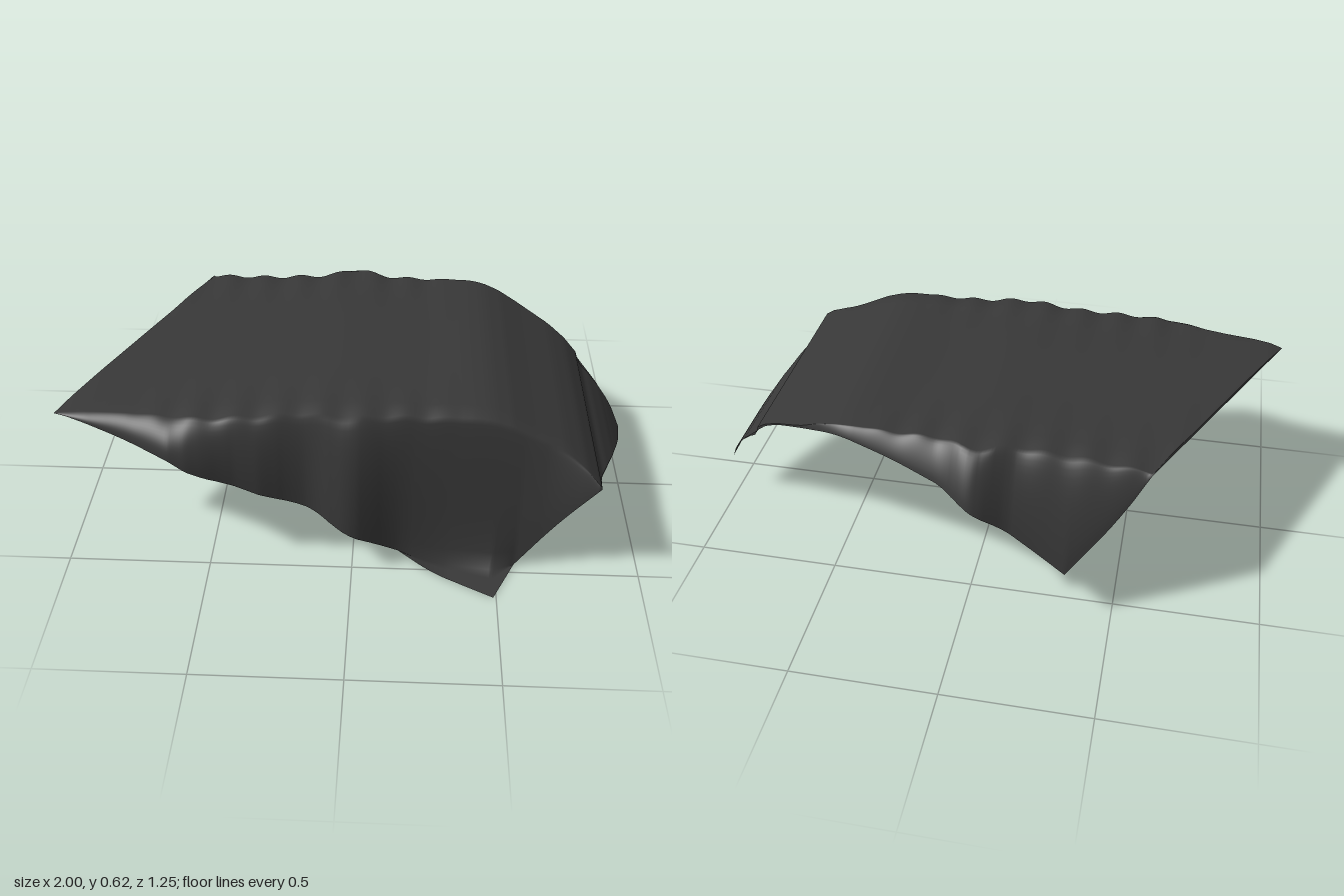
import * as THREE from 'three';

const { lerp, clamp } = THREE.MathUtils;

// Piecewise-linear lookup: keys are [x, a, b, ...]; returns [a, b, ...] at x
function at(keys, x) {
  let i = 0;
  while (i < keys.length - 2 && x > keys[i + 1][0]) i++;
  const p = keys[i], q = keys[i + 1];
  const t = clamp((x - p[0]) / (q[0] - p[0]), 0, 1);
  return p.slice(1).map((v, k) => lerp(v, q[k + 1], t));
}

// Same lookup averaged over a window, which narrows near the sharp corners of the cloth
const corners = [-1, -0.59, -0.34, 0.57, 0.82, 1];
function soft(keys, x) {
  const w = Math.min(0.05, ...corners.map((c) => Math.abs(x - c) * 0.7));
  const samples = [-1, -0.5, 0, 0.5, 1].map((k) => at(keys, x + k * w));
  return samples[0].map((_, k) => samples.reduce((sum, s) => sum + s[k], 0) / samples.length);
}

// Height of the upper surface: flat on top, falling away past the right end: [x, y]
const ridge = [[-1, 0.555], [-0.94, 0.57], [-0.6, 0.59], [-0.3, 0.605], [-0.05, 0.62], [0.2, 0.61],
  [0.42, 0.614], [0.5, 0.597], [0.62, 0.537], [0.75, 0.48], [0.82, 0.415], [0.84, 0.36], [0.87, 0.342],
  [0.91, 0.316], [0.96, 0.245], [1, 0.16]];
// Where the cloth bends over the front and the back: [x, z]
const frontBend = [[-1, 0.38], [-0.75, 0.40], [-0.5, 0.44], [-0.2, 0.42], [-0.03, 0.44], [0.15, 0.42],
  [0.5, 0.42], [0.7, 0.43], [0.82, 0.515], [0.84, 0.38], [0.87, 0.32], [0.91, 0.22], [0.96, 0.06], [1, -0.15]];
const backBend = [[-1, 0.38], [-0.59, -0.49], [-0.35, -0.47], [-0.1, -0.47], [-0.03, -0.54], [0.06, -0.47],
  [0.45, -0.46], [0.6, -0.41], [0.75, -0.33], [0.85, -0.26], [0.95, -0.2], [1, -0.15]];
// Lower hems: [x, y, z]
const frontHem = [[-1, 0.555, 0.38], [-0.93, 0.56, 0.41], [-0.75, 0.51, 0.455], [-0.6, 0.48, 0.525],
  [-0.52, 0.425, 0.535], [-0.42, 0.375, 0.5], [-0.3, 0.315, 0.495], [-0.18, 0.26, 0.46], [-0.11, 0.23, 0.47],
  [-0.03, 0.185, 0.54], [0.04, 0.15, 0.52], [0.15, 0.06, 0.465], [0.28, 0, 0.455], [0.57, 0, 0.46],
  [0.7, 0.215, 0.475], [0.82, 0.41, 0.52], [0.84, 0.35, 0.38], [0.87, 0.34, 0.32], [0.91, 0.315, 0.22],
  [0.96, 0.245, 0.06], [1, 0.16, -0.15]];
const backHem = [[-1, 0.555, 0.38], [-0.59, 0.585, -0.5], [-0.5, 0.42, -0.54], [-0.34, 0.21, -0.605],
  [-0.23, 0.285, -0.59], [-0.1, 0.38, -0.585], [-0.05, 0.43, -0.64], [-0.01, 0.45, -0.64], [0.05, 0.48, -0.57],
  [0.25, 0.54, -0.52], [0.45, 0.585, -0.48], [0.62, 0.53, -0.4], [0.75, 0.475, -0.33], [0.85, 0.37, -0.26],
  [0.95, 0.265, -0.2], [1, 0.16, -0.15]];
// Corner lying on the floor: [x, outward length]
const floorFlap = [[0.16, 0], [0.49, 0.165], [0.57, 0]];

// One cross-section of the cloth, from back hem over the top to front hem
function section(x) {
  const [y] = soft(ridge, x), [zb] = soft(backBend, x), [zf] = soft(frontBend, x);
  const [yBack, zBack] = soft(backHem, x), [yFront, zFront] = soft(frontHem, x);
  const [flap] = at(floorFlap, x);
  // Small wrinkles along both bends, fading towards the middle and the ends
  const wrinkle = 0.006 * Math.sin(45 * x) * clamp(Math.min(x + 0.75, 0.4 - x) * 5, 0, 1);
  const row = [], n = 12;
  const drop = (s, y1, z0, z1, round) => [x, lerp(y, y1, s ** 1.35) + wrinkle * (1 - s) ** 2,
    lerp(z0, z1, 1 - (1 - s) ** round)];
  for (let k = n; k > 0; k--) row.push(drop(k / n, yBack, zb, zBack, 1.25));
  for (let k = 0; k <= n; k++) {
    row.push([x, y + wrinkle * Math.abs((2 * k) / n - 1) ** 4, lerp(zb, zf, k / n)]);
  }
  for (let k = 1; k <= n; k++) {
    const p = drop(k / n, yFront, zf, zFront, 1.9);
    p[2] += flap * 0.2 * (k / n) ** 8;
    row.push(p);
  }
  for (let k = 1; k <= 3; k++) row.push([x, yFront, zFront + flap * lerp(0.2, 1, k / 3)]);
  return row;
}

export function createModel() {
  const group = new THREE.Group();
  const columns = 200, positions = [], index = [];
  let rows = 0;
  for (let i = 0; i <= columns; i++) {
    const row = section(-1 + (2 * i) / columns);
    rows = row.length;
    row.forEach((p) => positions.push(...p));
  }
  for (let i = 0; i < columns; i++) {
    for (let j = 0; j < rows - 1; j++) {
      const a = i * rows + j, c = a + rows;
      index.push(a, a + 1, c, a + 1, c + 1, c);
    }
  }
  const geometry = new THREE.BufferGeometry();
  geometry.setAttribute('position', new THREE.Float32BufferAttribute(positions, 3));
  geometry.setIndex(index);
  geometry.computeVertexNormals();

  const cloth = new THREE.Mesh(geometry,
    new THREE.MeshStandardMaterial({ color: 0x383838, side: THREE.DoubleSide }));
  cloth.name = 'drapedCloth';
  group.add(cloth);
  return group;
}
